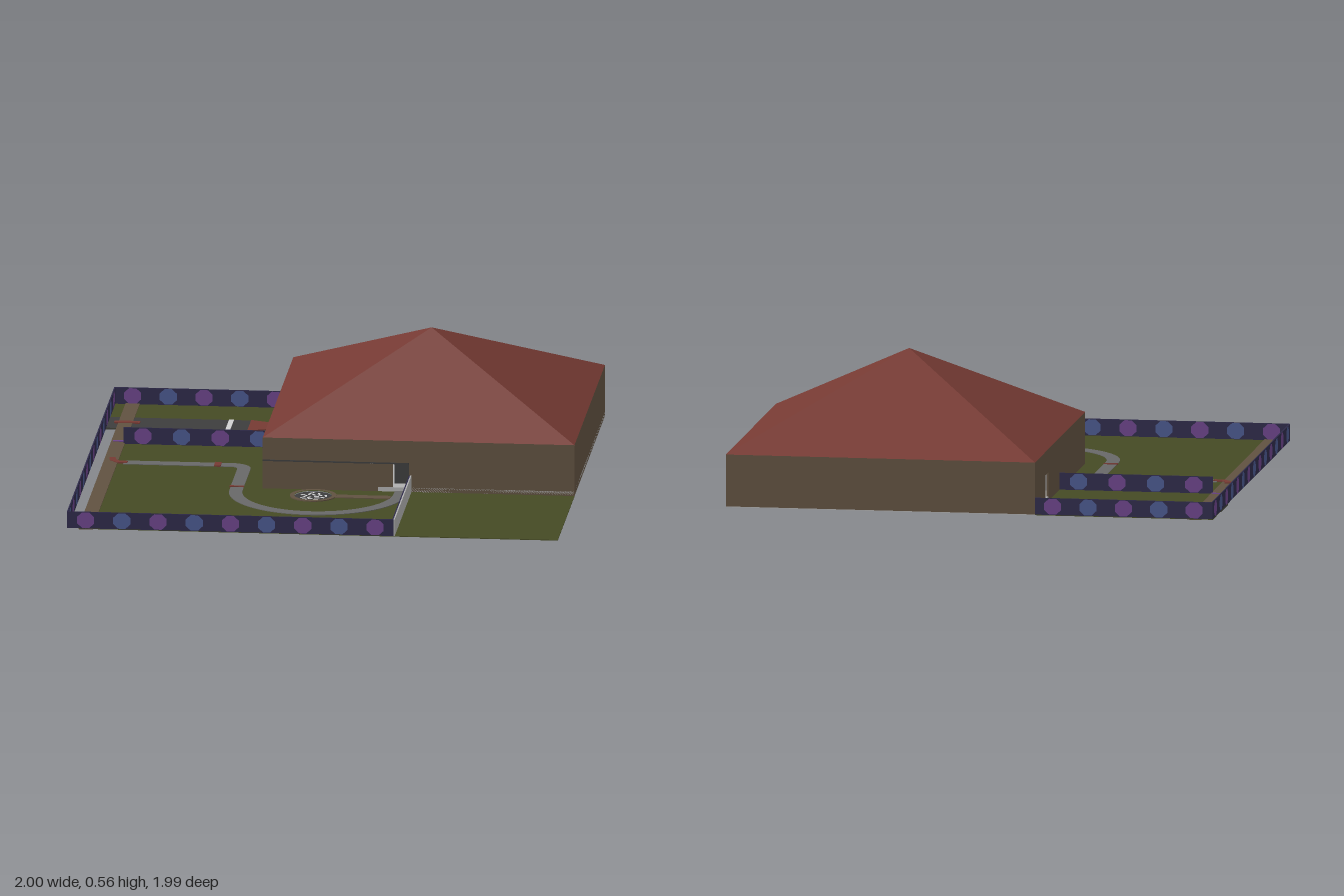
import * as THREE from 'three';

const paint = (name, color, side = THREE.FrontSide) => {
  const m = new THREE.MeshStandardMaterial({ color, side });
  m.name = name;
  return m;
};

export function createModel() {
  const model = new THREE.Group();
  model.name = 'houseWithGarden';

  const red = paint('roof red', 0x753a33, THREE.DoubleSide);
  const green = paint('lawn green', 0x454a24);
  const brown = paint('wall brown', 0x605140);
  const grey = paint('path grey', 0x686868);
  const dark = paint('dark asphalt', 0x3d3d3d);
  const white = paint('chalk white', 0xd0d0d0);
  const light = paint('concrete grey', 0xaeaeae);
  const navy = paint('fence navy', 0x2e2a4a);
  const purple = paint('fence purple', 0x6c448a);
  const blue = paint('fence blue', 0x4a588e);

  const add = (name, geo, mat, parent = model) => {
    const mesh = new THREE.Mesh(geo, mat);
    mesh.name = name;
    parent.add(mesh);
    return mesh;
  };
  // Box given by its limits on each axis
  const box = (name, x0, x1, y0, y1, z0, z1, mat, parent) => {
    const g = new THREE.BoxGeometry(x1 - x0, y1 - y0, z1 - z0);
    g.translate((x0 + x1) / 2, (y0 + y1) / 2, (z0 + z1) / 2);
    return add(name, g, mat, parent);
  };
  const toPlan = (pts) => pts.map(([x, z]) => new THREE.Vector2(x, -z));
  // Flat slab from a plan outline of [x, z] points
  const slab = (name, pts, y0, y1, mat, holes = []) => {
    const shape = new THREE.Shape(toPlan(pts));
    holes.forEach((h) => shape.holes.push(new THREE.Path(toPlan(h))));
    const g = new THREE.ExtrudeGeometry(shape, { depth: y1 - y0, bevelEnabled: false });
    g.rotateX(-Math.PI / 2);
    g.translate(0, y0, 0);
    return add(name, g, mat);
  };
  const arc = (cx, cz, r, a0, a1, n) => Array.from({ length: n + 1 }, (_, i) => {
    const a = a0 + (a1 - a0) * i / n;
    return [cx + r * Math.cos(a), cz + r * Math.sin(a)];
  });
  // Outline of a strip of constant width along a centre line
  const ribbon = (line, width) => {
    const left = [], right = [];
    line.forEach(([x, z], i) => {
      const a = line[Math.max(i - 1, 0)], b = line[Math.min(i + 1, line.length - 1)];
      const dx = b[0] - a[0], dz = b[1] - a[1], k = width / 2 / Math.hypot(dx, dz);
      left.push([x - dz * k, z + dx * k]);
      right.unshift([x + dz * k, z - dx * k]);
    });
    return [...left, ...right];
  };
  const PI = Math.PI;
  const W = -0.27, E = 1, N = -0.99, S = 0.29, G = 0.012, EAVE = 0.225, LOW = 0.13;

  // Lawn around the house, with an opening for the pond
  const pondX = -0.055, pondZ = 0.39;
  slab('lawn', [[-1, N], [W, N], [W, S], [E, S], [E, 0.99], [-0.95, 0.99], [-0.95, -0.6], [-1, -0.6]],
    0.009, G, green, [arc(pondX, pondZ, 0.078, 0, 2 * PI, 28)]);

  // Driveway and long side path
  box('driveway', -1, -0.42, 0.006, 0.0135, -0.77, -0.6, dark);
  box('drivewayLine', -0.51, -0.49, 0.013, 0.016, -0.77, -0.6, white);
  box('sidePath', -0.953, -0.895, 0.007, 0.0155, N, 0.99, brown);
  slab('redRamp', [[-0.42, -0.77], [W, -0.71], [W, -0.66], [-0.42, -0.6]], 0.007, 0.016, red);

  // Winding garden path
  slab('windingPath', ribbon([
    [-0.87, -0.06], [-0.43, -0.06],
    ...arc(-0.43, -0.005, 0.055, -PI / 2, 0, 8),
    [-0.375, 0.28],
    ...arc(-0.04, 0.335, 0.335, PI, 0, 36).slice(1),
    [0.295, S],
  ], 0.054), 0.007, 0.0145, grey);
  box('pondPath', 0.03, 0.26, 0.006, 0.015, 0.37, 0.415, brown);

  // Red markers on the paths
  box('pathMarker', -0.5, -0.473, 0.006, 0.018, -0.088, -0.032, red);
  box('pathMarker', -0.405, -0.347, 0.006, 0.018, 0.276, 0.29, red);
  box('drivewayMarker', -0.97, -0.865, 0.013, 0.018, -0.702, -0.673, red);
  box('fenceMarker', -0.945, -0.9, 0.013, 0.018, -0.395, -0.375, purple);
  slab('pathHook', ribbon([[-0.922, -0.12], [-0.917, -0.085], [-0.895, -0.06], [-0.855, -0.055]], 0.026),
    0.006, 0.018, red);

  // Sunken pond with a rim and foam patches
  slab('pondRim', arc(pondX, pondZ, 0.095, 0, 2 * PI, 28), 0.008, 0.016, brown,
    [arc(pondX, pondZ, 0.077, 0, 2 * PI, 28)]);
  const basin = add('pondBasin', new THREE.CylinderGeometry(0.08, 0.08, 0.009, 28), dark);
  basin.position.set(pondX, 0.0045, pondZ);
  for (let i = 0; i < 16; i++) {
    const a = i * 2.4, r = 0.014 * Math.sqrt(i + 1);
    const foam = add('pondFoam', new THREE.BoxGeometry(0.02, 0.002, 0.009), white);
    foam.position.set(pondX + r * Math.cos(a), 0.0095, pondZ + r * Math.sin(a));
    foam.rotation.y = i * 1.1;
  }

  // House walls with a doorway at the front and one on the side
  const t = 0.008;
  const walls = new THREE.Group();
  walls.name = 'walls';
  model.add(walls);
  box('rightWall', E - t, E, G, EAVE, N, S, brown, walls);
  box('backWall', W, E - t, G, EAVE, N, N + t, brown, walls);
  box('frontWall', W, 0.26, G, EAVE, S - t, S, brown, walls);
  box('frontWall', 0.325, E - t, G, EAVE, S - t, S, brown, walls);
  box('frontLintel', 0.26, 0.325, LOW, EAVE, S - t, S, brown, walls);
  box('leftWall', W, W + t, G, EAVE, N + t, -0.72, brown, walls);
  box('leftWall', W, W + t, G, EAVE, -0.65, S - t, brown, walls);
  box('leftLintel', W, W + t, LOW, EAVE, -0.72, -0.65, brown, walls);
  box('ceilingEdge', W, 0.325, LOW - 0.003, LOW + 0.003, S, S + 0.002, dark, walls);
  // Dark passages behind the doorways
  box('frontPassage', 0.26, 0.325, G, LOW, S - 0.07, S - 0.06, dark, walls);
  box('sidePassage', W + 0.06, W + 0.07, G, LOW, -0.72, -0.65, dark, walls);

  // House floor with two rounded openings, and a raised deck over the rest
  const capsule = (x0, z0, x1, z1, r) => {
    const a = Math.atan2(z1 - z0, x1 - x0);
    return [...arc(x0, z0, r, a + PI / 2, a + 1.5 * PI, 8), ...arc(x1, z1, r, a - PI / 2, a + PI / 2, 8)];
  };
  const bend = [[0.2, S], [0.2, 0.02], ...arc(0.1, 0.02, 0.1, 0, -PI / 2, 6),
    [0.03, -0.08], ...arc(0.03, -0.18, 0.1, PI / 2, PI, 6), [-0.07, -0.5], [W, -0.5]];
  slab('houseFloor', [[E, N], [E, S], ...bend, [W, N]], 0.009, 0.03, light,
    [capsule(0.65, -0.13, 0.43, -0.17, 0.045), capsule(0.225, -0.5, 0.225, -0.3, 0.045)]);
  slab('raisedDeck', [...bend, [W, S]], LOW - 0.004, LOW, light);
  box('innerCeiling', W + t, E - t, EAVE - 0.006, EAVE - 0.002, N + t, S - t, dark);

  // Four-sided roof with an off-centre peak
  const peak = [0.365, 0.56, -0.255];
  const eaves = [[W, S], [E, S], [E, N], [W, N]].map(([x, z]) => [x, EAVE, z]);
  const faces = [];
  eaves.forEach((p, i) => faces.push(...p, ...eaves[(i + 1) % 4], ...peak));
  const roof = new THREE.BufferGeometry();
  roof.setAttribute('position', new THREE.Float32BufferAttribute(faces, 3));
  roof.computeVertexNormals();
  add('roof', roof, red);

  // Patterned fence: a thin panel with alternating round patches on its faces
  const fence = (name, x0, z0, x1, z1, sides = [1, -1]) => {
    const len = Math.hypot(x1 - x0, z1 - z0), h = 0.069;
    const g = new THREE.Group();
    g.name = name;
    g.position.set((x0 + x1) / 2, G + h / 2, (z0 + z1) / 2);
    g.rotation.y = Math.atan2(z0 - z1, x1 - x0);
    model.add(g);
    add('fencePanel', new THREE.BoxGeometry(len, h, 0.005), navy, g);
    const n = Math.max(1, Math.round(len / 0.143));
    for (let i = 0; i < n; i++) {
      for (const s of sides) {
        const patch = add('fencePatch', new THREE.CircleGeometry(0.038, 8, PI / 8), i % 2 ? blue : purple, g);
        patch.scale.y = 0.92;
        patch.position.set(-len / 2 + (i + 0.5) * len / n, 0, s * 0.0035);
        if (s < 0) patch.rotation.y = PI;
      }
    }
  };
  fence('frontFence', -0.997, 0.99, 0.33, 0.99);
  fence('leftFence', -0.997, -0.99, -0.997, 0.99);
  fence('backFence', -0.997, -0.99, W, -0.99);
  fence('innerFence', -0.9, -0.36, W, -0.36);
  fence('gardenFence', 0.328, S, 0.328, 0.99, [1]);
  // Plain outer face of the garden fence
  box('gardenFenceBacking', 0.3305, 0.336, G, 0.081, S, 0.993, light);

  return model;
}
